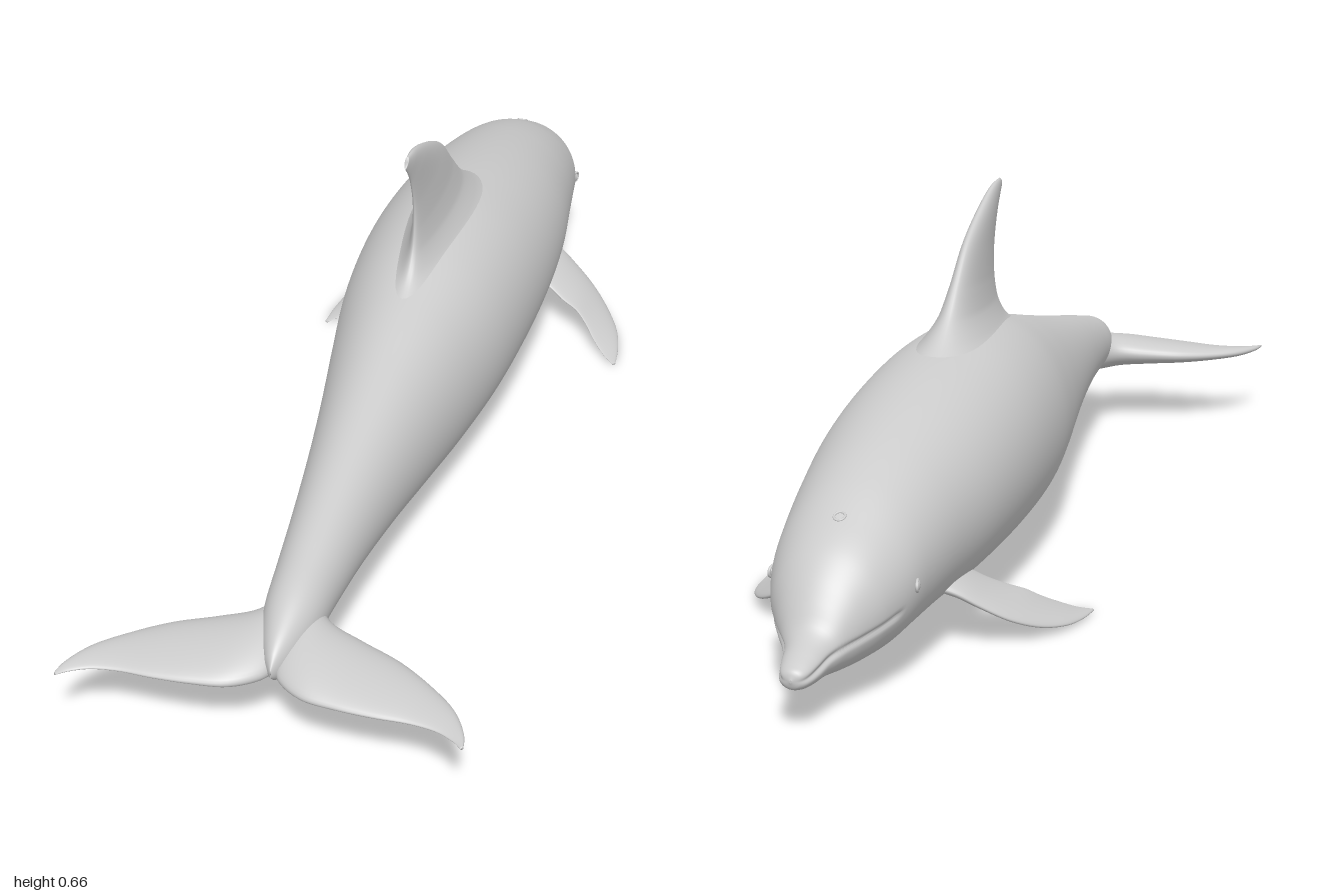
import * as THREE from 'three';

const material = new THREE.MeshStandardMaterial({ color: 0xcccccc, roughness: 0.6 });

// Skin a list of closed rings (arrays of Vector3); winding is made outward by signed volume.
function loft(rings) {
  const n = rings[0].length;
  const pts = rings.flat();
  const index = [];
  for (let i = 0; i < rings.length - 1; i++) {
    for (let j = 0; j < n; j++) {
      const a = i * n + j, b = i * n + (j + 1) % n;
      index.push(a, b, a + n, b, b + n, a + n);
    }
  }
  let volume = 0;
  const cross = new THREE.Vector3();
  for (let k = 0; k < index.length; k += 3) {
    volume += pts[index[k]].dot(cross.crossVectors(pts[index[k + 1]], pts[index[k + 2]]));
  }
  if (volume < 0) index.reverse();
  const geometry = new THREE.BufferGeometry().setFromPoints(pts);
  geometry.setIndex(index);
  geometry.computeVertexNormals();
  return geometry;
}

// Fin blade from stations [lead x,y,z, trail x,y,z, half thickness].
function blade(stations, normal, steps = 48, sides = 40) {
  const v = (s, o) => new THREE.Vector3(s[o], s[o + 1], s[o + 2]);
  const lead = new THREE.CatmullRomCurve3(stations.map((s) => v(s, 0)));
  const trail = new THREE.CatmullRomCurve3(stations.map((s) => v(s, 3)));
  const thick = new THREE.CatmullRomCurve3(stations.map((s) => new THREE.Vector3(s[6], 0, 0)));
  const rings = [];
  for (let i = 0; i <= steps; i++) {
    const t = i / steps;
    const a = lead.getPoint(t), b = trail.getPoint(t), h = Math.max(thick.getPoint(t).x, 0);
    const ring = [];
    for (let j = 0; j < sides; j++) {
      const angle = (j / sides) * Math.PI * 2;
      const s = (1 - Math.cos(angle)) / 2;
      ring.push(a.clone().lerp(b, s).addScaledVector(normal, h * Math.sin(angle) * (1.25 - 0.55 * s)));
    }
    rings.push(ring);
  }
  // close both ends
  for (const end of [0, rings.length - 1]) {
    const mid = rings[end].reduce((m, p) => m.add(p), new THREE.Vector3()).divideScalar(sides);
    const cap = rings[end].map(() => mid.clone());
    if (end === 0) rings.unshift(cap); 
    else rings.push(cap);
  }
  return loft(rings);
}

// Body outline: z, top y, bottom y, half width
const OUTLINE = [
  [-1, 0.095, 0.09, 0.002], [-0.996, 0.106, 0.08, 0.015], [-0.985, 0.113, 0.074, 0.025],
  [-0.96, 0.124, 0.07, 0.033], [-0.93, 0.137, 0.068, 0.039], [-0.912, 0.151, 0.066, 0.046],
  [-0.895, 0.178, 0.063, 0.056], [-0.87, 0.212, 0.059, 0.073], [-0.83, 0.25, 0.055, 0.096],
  [-0.77, 0.285, 0.051, 0.117], [-0.7, 0.32, 0.05, 0.129], [-0.6, 0.355, 0.05, 0.144],
  [-0.45, 0.392, 0.046, 0.165], [-0.3, 0.418, 0.041, 0.174], [-0.15, 0.432, 0.036, 0.172],
  [0, 0.424, 0.035, 0.16], [0.15, 0.393, 0.044, 0.136], [0.3, 0.356, 0.066, 0.11],
  [0.45, 0.32, 0.093, 0.087], [0.6, 0.286, 0.115, 0.068], [0.72, 0.258, 0.124, 0.056],
  [0.8, 0.238, 0.126, 0.048], [0.86, 0.212, 0.128, 0.032], [0.9, 0.187, 0.135, 0.014], [0.915, 0.165, 0.15, 0.001],
];

// Smooth interpolation of one outline column at z
function outline(z, column) {
  const P = OUTLINE, last = P.length - 1;
  let i = 0;
  while (i < last - 1 && z > P[i + 1][0]) i++;
  const slope = (k) => {
    const a = P[Math.max(k - 1, 0)], b = P[Math.min(k + 1, last)];
    return (b[column] - a[column]) / (b[0] - a[0]);
  };
  const h = P[i + 1][0] - P[i][0], t = (z - P[i][0]) / h, t2 = t * t, t3 = t2 * t;
  return (2 * t3 - 3 * t2 + 1) * P[i][column] + (t3 - 2 * t2 + t) * h * slope(i)
    + (3 * t2 - 2 * t3) * P[i + 1][column] + (t3 - t2) * h * slope(i + 1);
}

function surfacePoint(z, angle) {
  const top = outline(z, 1), bottom = outline(z, 2);
  const c = (top + bottom) / 2, r = (top - bottom) / 2, w = Math.max(outline(z, 3), 0.001);
  const y = c + r * Math.sin(angle);
  // mouth groove from the beak tip back towards the eye
  const mouthY = THREE.MathUtils.mapLinear(z, -0.99, -0.79, 0.094, 0.142);
  const fade = 1 - THREE.MathUtils.smoothstep(z, -0.81, -0.785);
  const k = 1 - fade * Math.min(0.005 / w, 0.15) * Math.exp(-(((y - mouthY) / 0.005) ** 2));
  return new THREE.Vector3(w * Math.cos(angle) * k, c + (y - c) * k, z);
}

function bodyGeometry(rows = 200, sides = 160) {
  const rings = [];
  for (let i = 0; i <= rows; i++) {
    const z = -1 + 1.915 * Math.pow(i / rows, 1.6);
    rings.push(Array.from({ length: sides }, (_, j) => surfacePoint(z, (j / sides) * Math.PI * 2)));
  }
  return loft(rings);
}

export function createModel() {
  const group = new THREE.Group();
  const add = (name, geometry) => {
    const mesh = new THREE.Mesh(geometry, material);
    mesh.name = name;
    group.add(mesh);
    return mesh;
  };

  add('body', bodyGeometry());

  // Dorsal fin, flaring into the back
  add('dorsalFin', blade([
    [0, 0.37, -0.38, 0, 0.36, 0.24, 0.105],
    [0, 0.40, -0.33, 0, 0.388, 0.16, 0.08],
    [0, 0.432, -0.27, 0, 0.415, 0.108, 0.052],
    [0, 0.467, -0.22, 0, 0.45, 0.078, 0.032],
    [0, 0.515, -0.17, 0, 0.49, 0.066, 0.022],
    [0, 0.58, -0.1, 0, 0.54, 0.067, 0.016],
    [0, 0.635, 0.01, 0, 0.595, 0.086, 0.011],
    [0, 0.655, 0.07, 0, 0.624, 0.106, 0.007],
    [0, 0.659, 0.11, 0, 0.643, 0.124, 0.003],
  ], new THREE.Vector3(1, 0, 0), 64, 48));

  for (const [side, m] of [['left', 1], ['right', -1]]) {
    const mirror = (s) => [s[0] * m, s[1], s[2], s[3] * m, s[4], s[5], s[6]];

    // Tail fluke with a centre notch
    add(side + 'Fluke', blade([
      [-0.004, 0.17, 0.69, -0.004, 0.152, 0.885, 0.036],
      [0.025, 0.168, 0.735, 0.014, 0.151, 0.918, 0.037],
      [0.06, 0.163, 0.78, 0.06, 0.151, 0.95, 0.032],
      [0.12, 0.158, 0.805, 0.12, 0.151, 0.96, 0.025],
      [0.19, 0.154, 0.832, 0.18, 0.15, 0.962, 0.019],
      [0.25, 0.151, 0.87, 0.24, 0.149, 0.96, 0.013],
      [0.3, 0.15, 0.915, 0.285, 0.149, 0.967, 0.009],
      [0.328, 0.15, 0.965, 0.315, 0.149, 0.982, 0.005],
      [0.334, 0.15, 0.992, 0.33, 0.15, 0.996, 0.002],
    ].map(mirror), new THREE.Vector3(0, 1, 0)));

    // Swept flipper, drooping outward
    add(side + 'Flipper', blade([
      [0.09, 0.115, -0.595, 0.09, 0.115, -0.46, 0.016],
      [0.13, 0.1, -0.583, 0.135, 0.09, -0.45, 0.013],
      [0.165, 0.078, -0.568, 0.17, 0.073, -0.432, 0.011],
      [0.21, 0.049, -0.54, 0.2, 0.062, -0.418, 0.009],
      [0.25, 0.026, -0.495, 0.223, 0.046, -0.4, 0.008],
      [0.28, 0.013, -0.44, 0.247, 0.028, -0.372, 0.006],
      [0.294, 0.007, -0.385, 0.272, 0.013, -0.348, 0.004],
      [0.299, 0.004, -0.335, 0.294, 0.005, -0.33, 0.002],
    ].map(mirror), new THREE.Vector3(0.4 * m, 0.92, 0)));

    // Eye with a thin lid ring, lying on the head surface
    const eyeAt = surfacePoint(-0.755, 0.02);
    eyeAt.x *= m;
    const eye = add(side + 'Eye', new THREE.SphereGeometry(0.009, 20, 14));
    eye.position.copy(eyeAt);
    eye.scale.x = 0.5;
    const lid = add(side + 'Eyelid', new THREE.TorusGeometry(0.012, 0.0025, 10, 28));
    lid.position.copy(eyeAt);
    lid.rotation.y = m * (Math.PI / 2 - 0.25);
    lid.scale.y = 0.8;
  }

  // Blowhole rim on the crown
  const blowhole = add('blowhole', new THREE.TorusGeometry(0.009, 0.002, 10, 28));
  blowhole.position.set(0, outline(-0.775, 1), -0.775);
  blowhole.rotation.x = -Math.PI / 2 - 0.5;
  return group;
}
